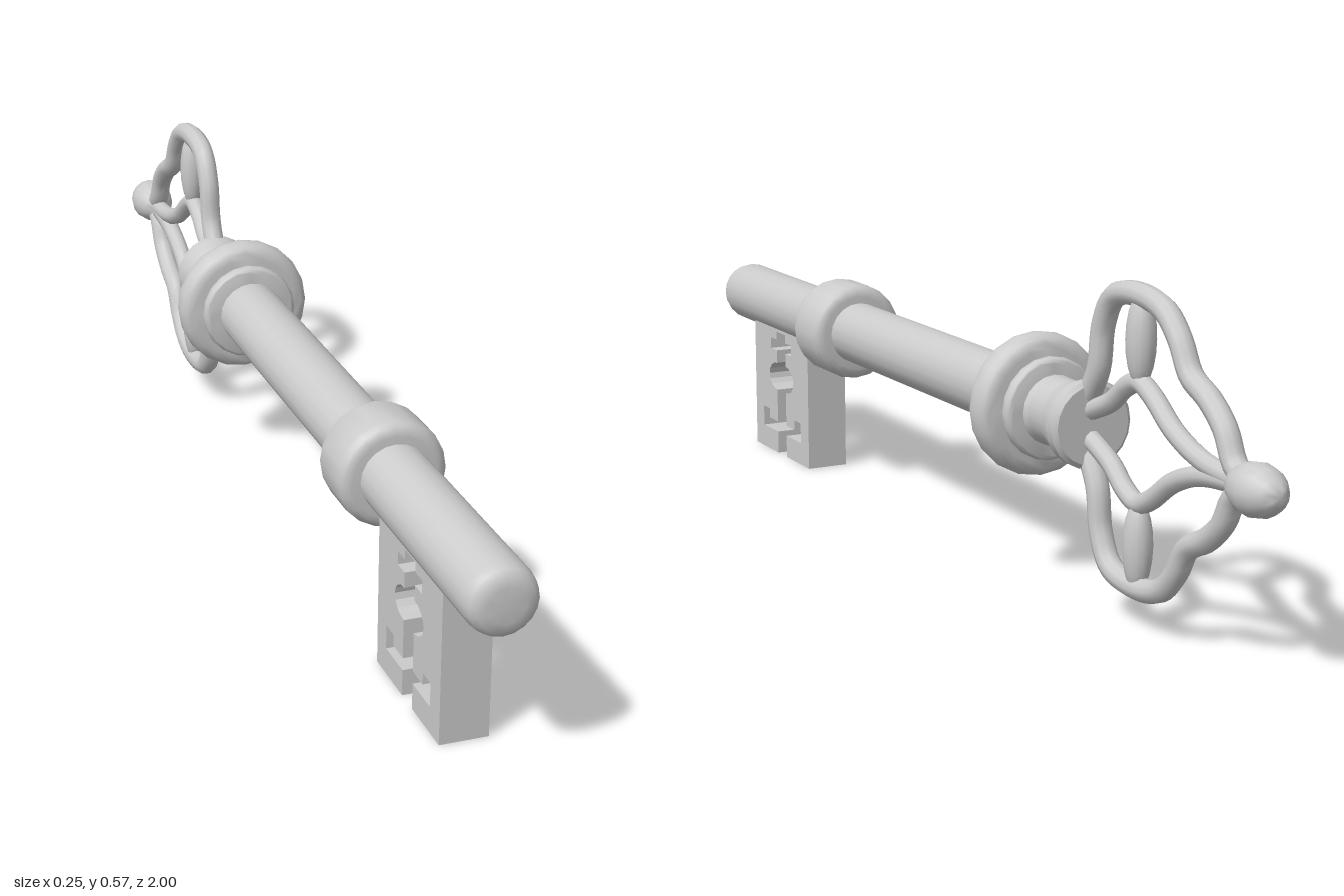
import * as THREE from 'three';
import { toCreasedNormals } from 'three/addons/utils/BufferGeometryUtils.js';

const AXIS = 0.31; // height of the shaft axis
const grey = new THREE.MeshStandardMaterial({ color: 0xcccccc });

function add(parent, name, geometry) {
  const mesh = new THREE.Mesh(geometry, grey);
  mesh.name = name;
  parent.add(mesh);
  return mesh;
}

// Turned part around the shaft axis; profile is [z, radius] with rising z
function turned(parent, name, profile, sides = 20) {
  const points = profile.map(([z, r]) => new THREE.Vector2(r, z));
  const geometry = toCreasedNormals(new THREE.LatheGeometry(points, sides), 0.7);
  geometry.rotateX(Math.PI / 2);
  add(parent, name, geometry).position.y = AXIS;
}

// Disc or collar with rounded rim
function collar(parent, name, z0, z1, r, round) {
  const profile = [[z0, 0.03]];
  for (let i = 0; i <= 4; i++) {
    const a = (i / 4) * Math.PI / 2;
    profile.push([z0 + round * (1 - Math.cos(a)), r - round * (1 - Math.sin(a))]);
  }
  for (let i = 0; i <= 4; i++) {
    const a = (i / 4) * Math.PI / 2;
    profile.push([z1 - round * (1 - Math.sin(a)), r - round * (1 - Math.cos(a))]);
  }
  profile.push([z1, 0.03]);
  turned(parent, name, profile);
}

// Round bar in the plane x = 0; points are [z, distance from axis]
function bar(parent, name, points, side, radius) {
  const curve = new THREE.CatmullRomCurve3(
    points.map(([z, d]) => new THREE.Vector3(0, AXIS + side * d, z)));
  add(parent, name, new THREE.TubeGeometry(curve, 48, radius, 10, false));
}

function createBit() {
  // One half of the cut-out plate outline: [offset from slot centre, y]
  const half = [[0.022, 0.262], [0.022, 0.245], [0.052, 0.245], [0.052, 0.222], [0.022, 0.222]];
  for (let i = 0; i <= 8; i++) {
    const a = Math.PI / 2 - (i / 8) * Math.PI;
    half.push([0.022 + 0.04 * Math.cos(a), 0.166 + 0.029 * Math.sin(a)]);
  }
  half.push([0.022, 0.068], [0.064, 0.068], [0.064, 0.088], [0.096, 0.088],
    [0.096, 0.046], [0.022, 0.046], [0.022, 0], [0.136, 0], [0.136, 0.29]);
  const mirrored = half.map(([d, y]) => [-d, y]).reverse();
  const shape = new THREE.Shape([...half, ...mirrored].map(([d, y]) => new THREE.Vector2(d, y)));
  const geometry = new THREE.ExtrudeGeometry(shape, { depth: 0.084, bevelEnabled: false });
  geometry.translate(0, 0, -0.042);
  geometry.rotateY(-Math.PI / 2);
  return geometry;
}

export function createModel() {
  const key = new THREE.Group();
  key.name = 'key';

  // Shaft with softened tip
  turned(key, 'shaft', [[-0.4, 0], [-0.4, 0.06], [0.972, 0.06], [0.988, 0.056],
    [0.997, 0.047], [1, 0.03], [1, 0]]);

  // Collar and triple ring
  collar(key, 'frontCollar', 0.428, 0.545, 0.095, 0.022);
  collar(key, 'ringFront', -0.255, -0.227, 0.09, 0.01);
  collar(key, 'ringMiddle', -0.317, -0.254, 0.126, 0.026);
  collar(key, 'ringBack', -0.344, -0.316, 0.09, 0.01);

  // Flared neck holding the bow
  turned(key, 'neck', [[-0.473, 0], [-0.473, 0.068], [-0.466, 0.076], [-0.45, 0.076],
    [-0.425, 0.067], [-0.395, 0.059], [-0.36, 0.06], [-0.335, 0.062]]);

  // Bow: outer and inner bars with a bead between, mirrored above and below
  const bow = new THREE.Group();
  bow.name = 'bow';
  key.add(bow);
  const outer = [[-0.45, 0.035], [-0.488, 0.1], [-0.501, 0.175], [-0.533, 0.226], [-0.609, 0.241],
    [-0.685, 0.226], [-0.727, 0.188], [-0.759, 0.138], [-0.812, 0.11], [-0.855, 0.073],
    [-0.882, 0.025], [-0.92, 0.004]];
  const inner = [[-0.45, 0.018], [-0.53, 0.052], [-0.575, 0.086], [-0.613, 0.1], [-0.651, 0.085],
    [-0.716, 0.041], [-0.796, 0.012], [-0.92, 0]];
  for (const side of [1, -1]) {
    const place = side > 0 ? 'upper' : 'lower';
    bar(bow, place + 'OuterBar', outer, side, 0.02);
    bar(bow, place + 'InnerBar', inner, side, 0.017);
    const bead = add(bow, place + 'Bead', new THREE.SphereGeometry(1, 14, 10));
    bead.scale.set(0.025, 0.078, 0.027);
    bead.position.set(0, AXIS + side * 0.17, -0.615);
  }

  // Egg-shaped end knob
  turned(bow, 'endKnob', [[-1, 0], [-0.996, 0.015], [-0.985, 0.027], [-0.967, 0.038], [-0.942, 0.043],
    [-0.917, 0.039], [-0.895, 0.029], [-0.88, 0.016], [-0.875, 0]], 16);

  // Toothed bit with its cut-outs
  add(key, 'bit', createBit()).position.z = 0.722;
  return key;
}
